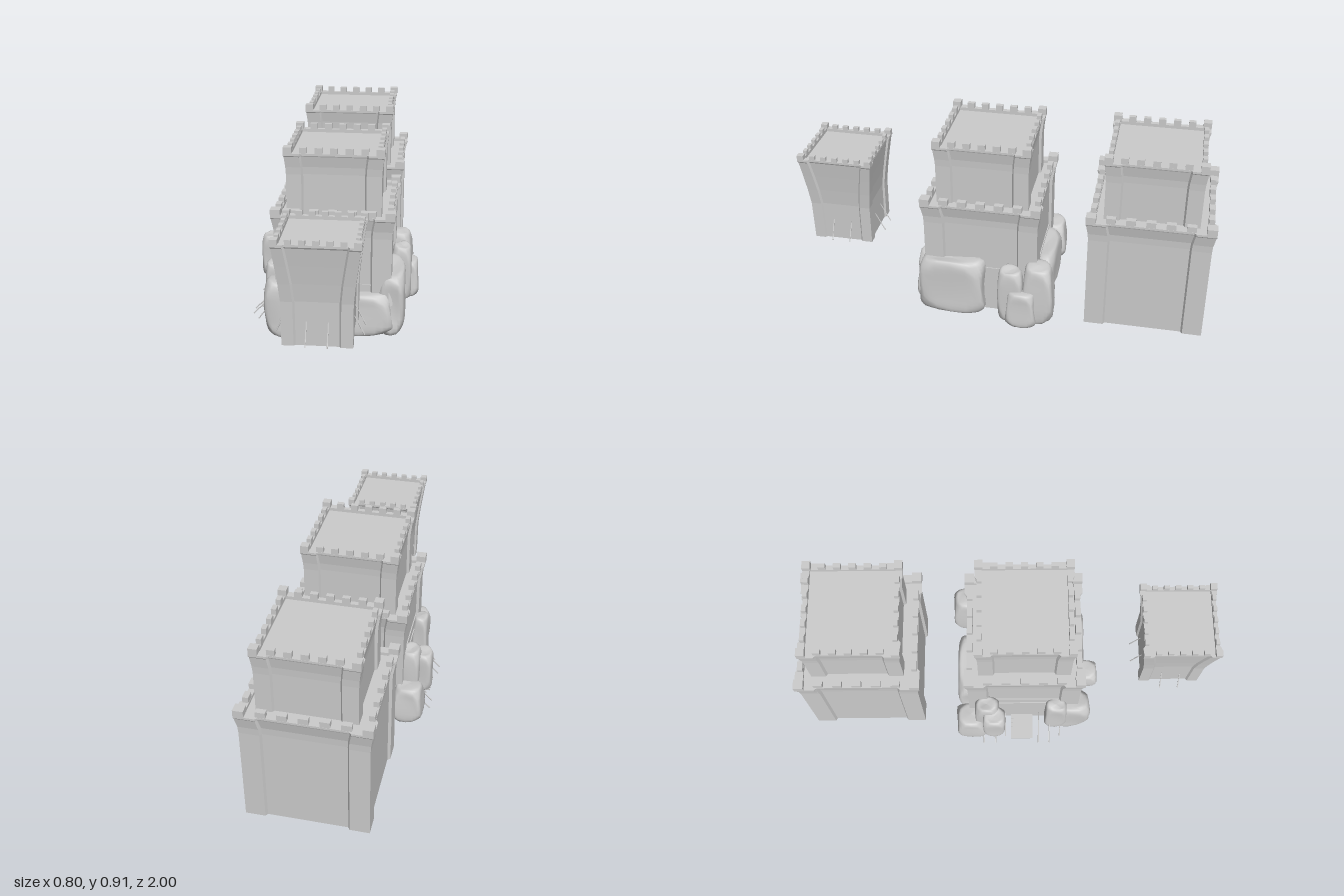
import * as THREE from 'three';

const stone = new THREE.MeshStandardMaterial({ color: 0xcccccc, flatShading: true, side: THREE.DoubleSide });
const smooth = new THREE.MeshStandardMaterial({ color: 0xcccccc });

function add(parent, name, geometry, x = 0, y = 0, z = 0, material = stone) {
  const mesh = new THREE.Mesh(geometry, material);
  mesh.name = name;
  mesh.position.set(x, y, z);
  parent.add(mesh);
  return mesh;
}

// Square outline with projecting corner piers: half size h, pier width w, wall inset d
function outline([y, h, w, d]) {
  const c = Math.min(0.008, h * 0.05);
  const corner = [[h - d, h - w - c], [h, h - w], [h, h], [h - w, h], [h - w - c, h - d]];
  const points = [];
  for (let k = 0; k < 4; k++) {
    for (const [a, b] of corner) {
      const [x, z] = [[a, b], [-b, a], [-a, -b], [b, -a]][k];
      points.push([x, y, z]);
    }
  }
  return points;
}

// Skin a stack of outlines
function loft(levels) {
  const rings = levels.map(outline);
  const n = rings[0].length;
  const index = [];
  for (let r = 0; r < rings.length - 1; r++) {
    for (let i = 0; i < n; i++) {
      const a = r * n + i, b = r * n + (i + 1) % n;
      index.push(a, a + n, b, b, a + n, b + n);
    }
  }
  const g = new THREE.BufferGeometry();
  g.setAttribute('position', new THREE.Float32BufferAttribute(rings.flat(2), 3));
  g.setIndex(index);
  const flat = g.toNonIndexed();
  flat.computeVertexNormals();
  return flat;
}

// One storey: closed base, flared walls, rim, sunken roof and battlements
function storey(parent, name, walls, rim, merlonHeight) {
  const [y0] = walls[0];
  const [top, h, w, d] = walls[walls.length - 1];
  const inner = h - rim;
  add(parent, name + 'Walls', loft([
    [y0, 0, 0, 0], ...walls,
    [top, inner, w, 0], [top - 0.015, inner, w, 0], [top - 0.015, 0, 0, 0],
  ]));
  const corner = rim * 1.15, step = (2 * h - corner) / 6;
  const battlements = new THREE.Group();
  battlements.name = name + 'Battlements';
  for (let side = 0; side < 4; side++) {
    const row = new THREE.Group();
    row.rotation.y = side * Math.PI / 2;
    const big = new THREE.BoxGeometry(corner, merlonHeight, corner);
    add(row, 'cornerMerlon', big, -h + corner / 2, top + merlonHeight / 2, h - corner / 2);
    const small = new THREE.BoxGeometry(step * 0.48, merlonHeight * 0.9, rim * 0.65);
    for (let i = -2; i <= 2; i++) {
      add(row, 'merlon', small, i * step, top + merlonHeight * 0.45, h - d - rim * 0.35);
    }
    battlements.add(row);
  }
  parent.add(battlements);
}

// Wide lower storey with a smaller one on top
function keep(name, z, h) {
  const g = new THREE.Group();
  g.name = name;
  g.position.set(0.01, 0, z);
  storey(g, 'lower', [
    [0.025, h, 0.09, 0.013], [0.5, h, 0.09, 0.013], [0.535, h + 0.002, 0.09, 0.013],
    [0.585, h + 0.011, 0.09, 0.011], [0.59, h + 0.014, 0.092, 0.012], [0.6, h + 0.014, 0.092, 0.012],
  ], 0.04, 0.03);
  storey(g, 'upper', [
    [0.57, 0.219, 0.07, 0.012], [0.78, 0.219, 0.07, 0.012], [0.815, 0.221, 0.07, 0.012],
    [0.865, 0.227, 0.07, 0.01], [0.87, 0.23, 0.072, 0.011], [0.88, 0.23, 0.072, 0.011],
  ], 0.033, 0.03);
  return g;
}

// Thin pole between two points
function pole(parent, name, from, to) {
  const a = new THREE.Vector3(...from), b = new THREE.Vector3(...to);
  const dir = b.clone().sub(a);
  const mid = a.clone().add(b).multiplyScalar(0.5);
  const mesh = add(parent, name, new THREE.CylinderGeometry(0.002, 0.003, dir.length(), 6), mid.x, mid.y, mid.z);
  mesh.quaternion.setFromUnitVectors(new THREE.Vector3(0, 1, 0), dir.normalize());
}

// Rounded, blocky boulder filling the given x, y and z ranges
function boulder(parent, [x0, x1], [y0, y1], [z0, z1], seed) {
  const g = new THREE.SphereGeometry(1, 28, 20);
  const p = g.attributes.position;
  const box = (v) => Math.sign(v) * Math.pow(Math.abs(v), 0.5);
  for (let i = 0; i < p.count; i++) {
    const x = box(p.getX(i)), y = box(p.getY(i)), z = box(p.getZ(i));
    const m = Math.max(Math.hypot(x, y, z) / 1.35, Math.abs(x), Math.abs(y), Math.abs(z));
    const bump = 0.97 + 0.05 * Math.sin(x * 2.3 + seed) * Math.cos(z * 2.1 + y * 1.7 + seed * 2);
    const taper = 1 - 0.06 * y + 0.04 * Math.sin(y * 3 + seed);
    p.setXYZ(i, x / m * bump * taper, y / m * bump, z / m * bump * taper);
  }
  g.computeVertexNormals();
  // Share normals across the seam of the sphere
  const n = g.attributes.normal;
  for (let r = 0; r <= 20; r++) {
    const a = r * 29, b = a + 28;
    const v = new THREE.Vector3().fromBufferAttribute(n, a)
      .add(new THREE.Vector3().fromBufferAttribute(n, b)).normalize();
    n.setXYZ(a, v.x, v.y, v.z);
    n.setXYZ(b, v.x, v.y, v.z);
  }
  g.scale((x1 - x0) / 2, (y1 - y0) / 2, (z1 - z0) / 2);
  add(parent, 'boulder', g, (x0 + x1) / 2, (y0 + y1) / 2, (z0 + z1) / 2, smooth);
}

export function createModel() {
  const model = new THREE.Group();
  model.name = 'fortress';
  model.add(keep('backKeep', -0.706, 0.28), keep('middleKeep', 0.082, 0.272));

  // Front turret with concave flaring walls
  const turret = new THREE.Group();
  turret.name = 'frontTurret';
  turret.position.set(0.01, 0, 0.812);
  storey(turret, 'turret', [
    [0.262, 0.147, 0.05, 0.009], [0.46, 0.149, 0.05, 0.009], [0.54, 0.157, 0.05, 0.009],
    [0.62, 0.167, 0.048, 0.009], [0.7, 0.178, 0.046, 0.009], [0.707, 0.182, 0.046, 0.009], [0.717, 0.182, 0.046, 0.009],
  ], 0.027, 0.022);
  for (let side = 0; side < 4; side++) {
    const poles = new THREE.Group();
    poles.name = 'leaningPoles';
    poles.rotation.y = side * Math.PI / 2;
    for (const x of [-0.045, 0.045]) pole(poles, 'leaningPole', [x, 0.275, 0.186], [x, 0.37, 0.138]);
    turret.add(poles);
  }
  model.add(turret);

  // Ledges on the middle keep
  const ledges = new THREE.Group();
  ledges.name = 'ledges';
  for (const s of [-1, 1]) {
    add(ledges, 'ledge', new THREE.BoxGeometry(0.36, 0.008, 0.008), 0.01, 0.265, 0.082 + s * 0.26);
    add(ledges, 'ledge', new THREE.BoxGeometry(0.008, 0.008, 0.36), 0.01 + s * 0.26, 0.265, 0.082);
  }
  add(ledges, 'ledge', new THREE.BoxGeometry(0.008, 0.008, 0.36), -0.25, 0.33, 0.082);
  model.add(ledges);

  // Entrance steps and slanted stakes
  const entrance = new THREE.Group();
  entrance.name = 'entrance';
  for (let i = 0; i < 6; i++) {
    add(entrance, 'step', new THREE.BoxGeometry(0.02, 0.006, 0.11), -0.362 + i * 0.019, 0.03 + i * 0.009, 0.075);
  }
  add(entrance, 'stepBase', new THREE.BoxGeometry(0.11, 0.006, 0.11), -0.317, 0.027, 0.075);
  [-0.12, -0.06, -0.01, 0.16, 0.215, 0.27].forEach((z, i) => {
    const reach = i % 3 === 2 ? 0.36 : 0.395;
    pole(entrance, 'stake', [-reach, 0.03, z], [-0.27, 0.16, z]);
  });
  model.add(entrance);

  // Boulders heaped around the middle keep
  const rocks = new THREE.Group();
  rocks.name = 'boulders';
  [
    [[-0.31, -0.17], [0, 0.28], [0.22, 0.415]],
    [[-0.088, 0.03], [0.01, 0.13], [0.35, 0.47]],
    [[-0.02, 0.29], [0.02, 0.23], [0.26, 0.405]],
    [[0.22, 0.345], [0.02, 0.32], [0.06, 0.38]],
    [[0.27, 0.365], [0.03, 0.31], [-0.13, -0.01]],
    [[0.23, 0.365], [0.03, 0.335], [-0.275, -0.13]],
    [[0.3, 0.4], [0.02, 0.21], [-0.2, -0.06]],
    [[-0.39, -0.29], [0.13, 0.345], [-0.12, -0.01]],
    [[-0.335, -0.24], [0.1, 0.38], [-0.16, -0.04]],
    [[-0.365, -0.22], [0.02, 0.22], [-0.255, -0.11]],
    [[-0.32, -0.24], [0.05, 0.33], [0.19, 0.3]],
    [[-0.2, 0.125], [0.03, 0.25], [-0.25, -0.14]],
  ].forEach(([x, y, z], i) => boulder(rocks, x, y, z, i * 1.7));
  add(rocks, 'rockSpire', new THREE.ConeGeometry(0.025, 0.13, 6), 0.27, 0.24, 0.355);
  model.add(rocks);
  return model;
}
